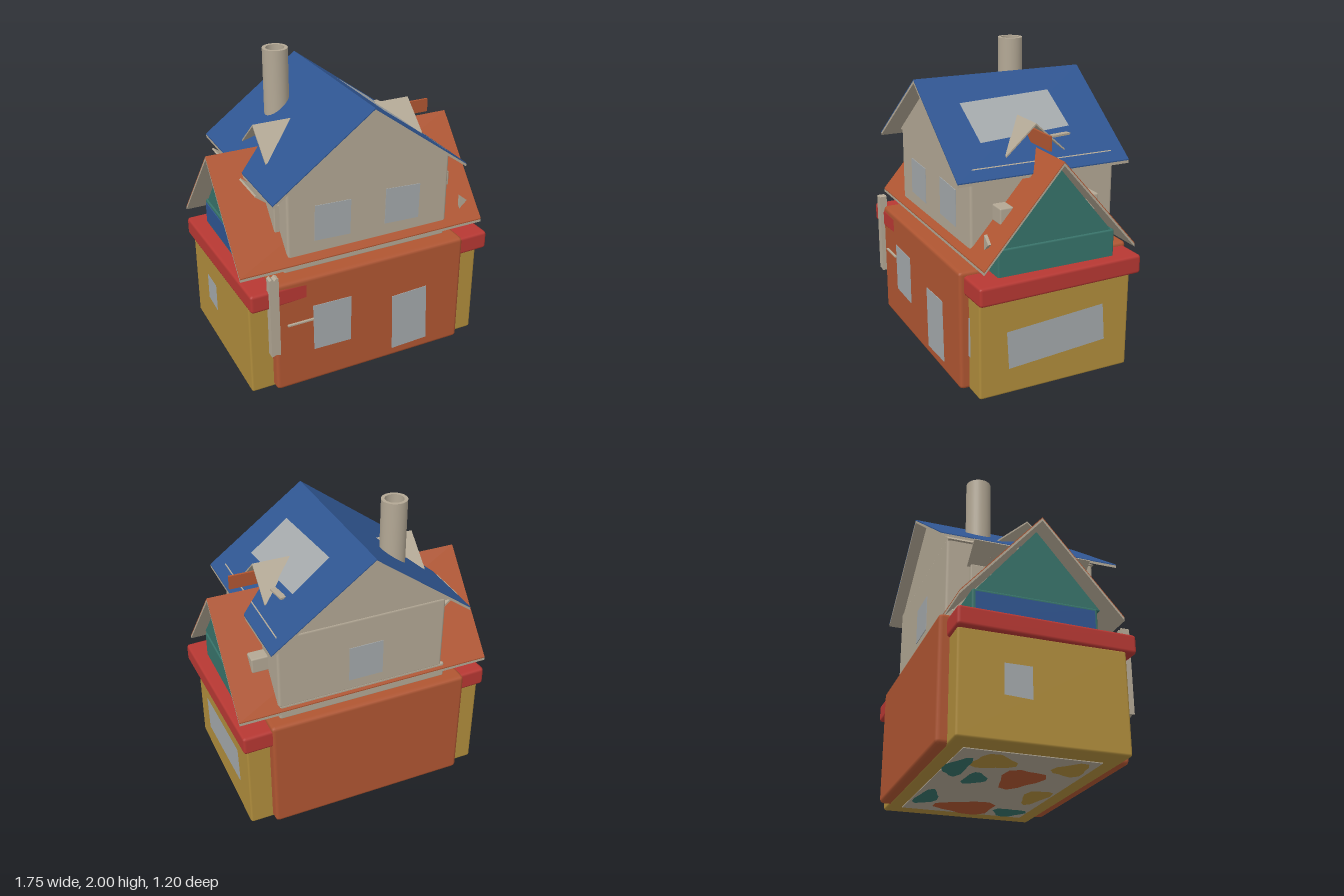
import * as THREE from 'three';
import { RoundedBoxGeometry } from 'three/addons/geometries/RoundedBoxGeometry.js';

const mat = (name, color) => {
  const m = new THREE.MeshStandardMaterial({ color, side: THREE.DoubleSide });
  m.name = name;
  return m;
};

export function createModel() {
  const root = new THREE.Group();
  root.name = 'house';
  const rust = mat('rust', 0xb05632), yellow = mat('ochre', 0xb08d3c), red = mat('red', 0xb83833);
  const beige = mat('beige', 0xb3a895), blue = mat('blue', 0x2f5591), teal = mat('teal', 0x37736a);
  const grey = mat('windowGrey', 0xa4a9ab);

  const add = (name, geo, m, parent = root) => {
    const mesh = new THREE.Mesh(geo, m);
    mesh.name = name;
    parent.add(mesh);
    return mesh;
  };
  // Box from its two extreme corners; r > 0 softens the edges
  const block = (name, a, b, m, r = 0) => {
    const s = b.map((v, i) => v - a[i]);
    const geo = r ? new RoundedBoxGeometry(s[0], s[1], s[2], 1, r) : new THREE.BoxGeometry(...s);
    const mesh = add(name, geo, m);
    mesh.position.set(...b.map((v, i) => (v + a[i]) / 2));
    return mesh;
  };
  // Flat polygon from points, extruded by depth along local z
  const plate = (pts, depth) => new THREE.ExtrudeGeometry(
    new THREE.Shape(pts.map(p => new THREE.Vector2(...p))), { depth, bevelEnabled: false });
  // Free quad through four corners in space
  const quad = (name, p, m) => {
    const geo = new THREE.BufferGeometry();
    geo.setAttribute('position', new THREE.Float32BufferAttribute(p.flat(), 3));
    geo.setIndex([0, 1, 2, 0, 2, 3]);
    geo.computeVertexNormals();
    return add(name, geo, m);
  };

  // Storeys
  block('lowerWing', [-0.84, 0.01, -0.535], [0.805, 0.66, 0.51], yellow, 0.015);
  block('lowerHall', [-0.69, 0.014, -0.6], [0.655, 0.8, 0.57], rust, 0.025);
  block('belt', [-0.862, 0.65, -0.57], [0.855, 0.775, 0.557], red, 0.02).rotation.y = 0.027;
  block('atticBase', [-0.77, 0.76, -0.43], [0.77, 0.95, 0.37], teal, 0.012);
  block('atticEndPanel', [-0.776, 0.79, -0.41], [-0.769, 0.93, 0.35], blue);
  block('upperStorey', [-0.575, 0.79, -0.525], [0.575, 0.9, 0.455], beige, 0.015);
  block('upperWalls', [-0.55, 0.88, -0.525], [0.58, 1.4, 0.46], beige, 0.018);

  // Gables under the two roofs
  const gable = add('upperGable', plate([[-0.57, 1.38], [0.57, 1.38], [-0.02, 1.8]], 0.98), beige);
  gable.position.z = -0.52;
  const teals = add('atticGable', plate([[-0.39, 0.945], [0.41, 0.945], [0.015, 1.42]], 1.52), teal);
  teals.rotation.y = Math.PI / 2;
  teals.position.x = -0.76;

  // Pitched roof: thin coloured skin over a beige slab
  const chevron = (hw, eave, ridge, top, t) => plate([[-hw, eave - top], [0, ridge - top], [hw, eave - top],
    [hw, eave - top - t], [0, ridge - top - t], [-hw, eave - top - t]], 1);
  const roof = (name, hw, eave, ridge, length, skin) => {
    const g = new THREE.Group();
    g.name = name;
    for (const [part, m, top, t] of [['Skin', skin, 0, 0.007], ['Slab', beige, 0.007, 0.018]]) {
      const mesh = add(name + part, chevron(hw, eave, ridge, top, t), m, g);
      mesh.scale.z = length;
      mesh.position.z = -length / 2;
    }
    root.add(g);
    return g;
  };
  roof('mainRoof', 0.66, 1.345, 1.83, 1.165, blue).position.set(-0.02, 0, -0.018);
  const low = roof('lowerRoof', 0.515, 0.865, 1.455, 1.715, rust);
  low.rotation.y = Math.PI / 2;
  low.position.set(-0.018, 0, -0.022);
  const cross = add('dormerRoof', chevron(0.2, 1.435, 1.615, 0, 0.012), beige);
  cross.scale.z = 1.1;
  cross.rotation.y = Math.PI / 2;
  cross.position.set(-0.57, 0, 0);
  block('ridgeBoard', [0.35, 1.48, -0.02], [0.69, 1.57, -0.005], rust);

  // Hollow chimney
  const ring = [[0.06, 1.3], [0.082, 1.3], [0.082, 2], [0.06, 2], [0.06, 1.3]];
  // Each wall of the profile is its own lathe so that the rims stay crisp
  for (let i = 0; i < 4; i++) {
    const part = add('chimney', new THREE.LatheGeometry(
      [ring[i], ring[i + 1]].map(p => new THREE.Vector2(...p)), 32), beige);
    part.position.set(-0.305, 0, -0.245);
  }

  // Skylight and its small handle on the right slope
  const onRoof = (x, z) => [x, 1.837 - (x + 0.02) * 0.735, z];
  quad('skylight', [onRoof(0.17, 0.34), onRoof(0.43, 0.32), onRoof(0.39, -0.31), onRoof(0.14, -0.29)], grey);
  const flap = block('roofFlap', [0.425, 1.495, -0.28], [0.465, 1.507, -0.15], beige);
  flap.rotation.y = 0.15;

  // Windows on the front and back walls: corners in x and y
  const pane = (name, z, pts) => { add(name, plate(pts, 0.006), grey).position.z = z; };
  pane('lowerWindow', 0.568, [[-0.43, 0.26], [-0.17, 0.255], [-0.17, 0.585], [-0.435, 0.59]]);
  pane('frontDoor', 0.568, [[0.14, 0.08], [0.4, 0.09], [0.385, 0.505], [0.13, 0.495]]);
  pane('upperWindowRight', 0.458, [[-0.37, 0.985], [-0.125, 0.975], [-0.12, 1.215], [-0.365, 1.225]]);
  pane('upperWindowLeft', 0.458, [[0.12, 0.985], [0.365, 0.975], [0.37, 1.215], [0.125, 1.23]]);
  pane('wingWindow', 0.508, [[0.58, 0.25], [0.675, 0.24], [0.67, 0.5], [0.58, 0.49]]);
  pane('backWindow', -0.529, [[-0.12, 0.96], [0.11, 0.96], [0.11, 1.2], [-0.12, 1.2]]);
  // Windows on the end walls: corners in z and y
  quad('wideWindow', [[0.808, 0.18, 0.315], [0.808, 0.23, -0.36], [0.808, 0.48, -0.34], [0.808, 0.43, 0.33]], grey);
  quad('smallWindow', [[-0.844, 0.28, -0.26], [-0.844, 0.27, -0.09], [-0.844, 0.47, -0.09], [-0.844, 0.47, -0.26]], grey);

  // Side fittings of the upper storey
  for (const z of [-0.315, 0.27]) {
    block('sideBox', [0.56, 1.065, z - 0.045], [0.685, 1.17, z + 0.045], beige, 0.01);
  }
  for (const z of [-0.27, 0.235]) {
    block('shutter', [-0.585, 0.96, z - 0.11], [-0.54, 1.22, z + 0.11], beige, 0.008);
    const awning = block('awning', [-0.725, 1.26, z - 0.13], [-0.545, 1.272, z + 0.13], beige);
    awning.rotation.z = -0.66;
    const brace = add('awningBrace', plate([[-0.64, 1.26], [-0.575, 1.22], [-0.575, 1.31]], 0.01), beige);
    brace.position.z = z;
  }
  const fin = add('roofFin', plate([[0.705, 0.94], [0.76, 0.99], [0.705, 1.035]], 0.02), beige);
  fin.position.z = 0.41;

  // Notched post and thin bar at the front
  const post = add('frontPost', plate([[-0.73, 0.31], [-0.7, 0.32], [-0.67, 0.31], [-0.67, 0.87],
    [-0.685, 0.875], [-0.7, 0.86], [-0.715, 0.875], [-0.73, 0.865]], 0.05), beige);
  post.position.z = 0.548;
  block('windowBar', [-0.61, 0.492, 0.568], [-0.435, 0.502, 0.585], beige);

  // Patchwork underside
  block('basePlate', [-0.68, 0.005, -0.44], [0.66, 0.012, 0.4], beige);
  const patches = [[0.5, -0.04, 0.16, 0.2, rust], [-0.23, 0.06, 0.2, 0.13, rust], [0.34, -0.36, 0.17, 0.07, teal],
    [-0.34, -0.37, 0.18, 0.07, teal], [0.54, 0.27, 0.1, 0.11, teal], [-0.5, -0.2, 0.13, 0.13, yellow],
    [-0.5, 0.28, 0.13, 0.1, yellow], [0.12, 0.3, 0.17, 0.08, yellow], [-0.15, -0.2, 0.12, 0.07, teal]];
  patches.forEach(([x, z, rx, rz, m], k) => {
    const pts = Array.from({ length: 14 }, (_, i) => {
      const a = i / 14 * Math.PI * 2, r = 1 + 0.2 * Math.sin(3 * a + k * 2);
      return new THREE.Vector2(Math.cos(a) * rx * r, Math.sin(a) * rz * r);
    });
    const patch = add('underPatch', new THREE.ShapeGeometry(new THREE.Shape(pts)), m);
    patch.rotation.x = Math.PI / 2;
    patch.position.set(x, 0.001 + k * 0.0003, z);
  });
  return root;
}
